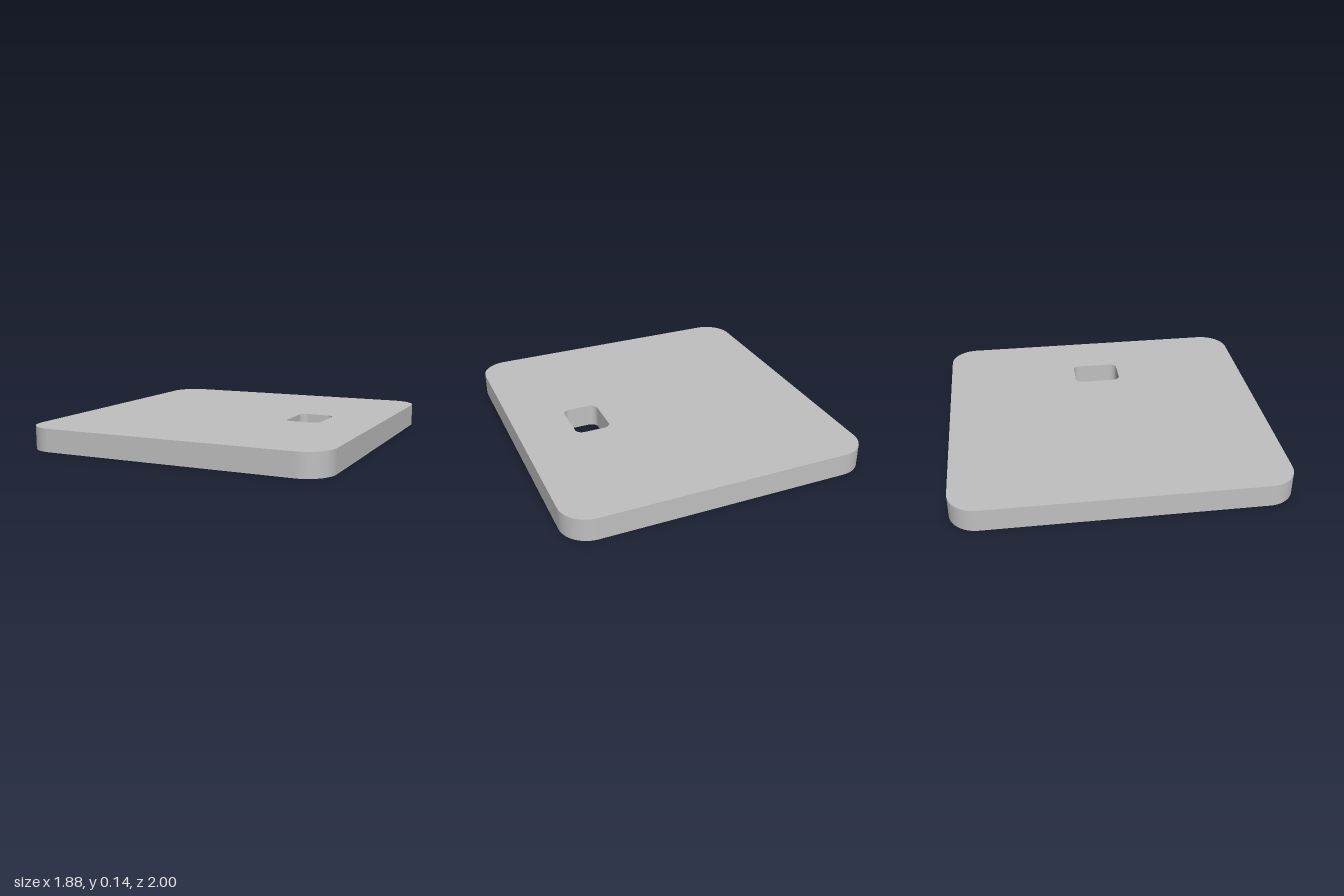
import * as THREE from 'three';

const HEIGHT = 0.14, POCKET = 0.07, STEPS = 12;

// Rounded rectangle outline: points and outward normals in the x/z plane
function outline(x, z, halfX, halfZ, r) {
  const ring = [];
  const corners = [[1, 1], [-1, 1], [-1, -1], [1, -1]];
  corners.forEach(([sx, sz], i) => {
    for (let k = 0; k <= STEPS; k++) {
      const a = (i + k / STEPS) * Math.PI / 2;
      const nx = Math.cos(a), nz = Math.sin(a);
      ring.push({ x: x + sx * (halfX - r) + r * nx, z: z + sz * (halfZ - r) + r * nz, nx, nz });
    }
  });
  return ring;
}

// Vertical wall around an outline; inward walls line a hole
function wall(ring, y0, y1, inward) {
  const pos = [], nor = [], idx = [], n = ring.length, s = inward ? -1 : 1;
  ring.forEach((p, i) => {
    pos.push(p.x, y0, p.z, p.x, y1, p.z);
    nor.push(s * p.nx, 0, s * p.nz, s * p.nx, 0, s * p.nz);
    const a = 2 * i, b = 2 * ((i + 1) % n);
    if (inward) idx.push(a, b, a + 1, b, b + 1, a + 1);
    else idx.push(a, a + 1, b, b, a + 1, b + 1);
  });
  const g = new THREE.BufferGeometry();
  g.setAttribute('position', new THREE.Float32BufferAttribute(pos, 3));
  g.setAttribute('normal', new THREE.Float32BufferAttribute(nor, 3));
  g.setIndex(idx);
  return g;
}

// Flat face at height y, facing up or down, with holes cut out
function face(ring, y, up, holes = []) {
  const s = up ? -1 : 1;
  const points = (r) => r.map((p) => new THREE.Vector2(p.x, s * p.z))
    .filter((p, i, all) => i === 0 || p.distanceTo(all[i - 1]) > 1e-6);
  const shape = new THREE.Shape(points(ring));
  shape.holes = holes.map((h) => new THREE.Path(points(h)));
  return new THREE.ShapeGeometry(shape).rotateX(s * Math.PI / 2).translate(0, y, 0);
}

export function createModel() {
  const model = new THREE.Group();
  model.name = 'basePlate';
  const grey = new THREE.MeshStandardMaterial({ color: 0xc0c0c0 });
  grey.name = 'grey';
  const add = (name, geometry) => {
    const mesh = new THREE.Mesh(geometry, grey);
    mesh.name = name;
    model.add(mesh);
  };

  const rim = outline(0, 0, 0.94, 1, 0.17);
  const slot = outline(0.49, 0, 0.11, 0.15, 0.045);
  const recess = outline(0, 0, 0.37, 0.46, 0.06);
  const screwHoles = [];
  for (const sx of [-1, 1]) {
    for (const sz of [-1, 1]) screwHoles.push(outline(sx * 0.57, sz * 0.65, 0.032, 0.032, 0.032));
  }

  // Plate shell
  add('plateTop', face(rim, HEIGHT, true, [slot]));
  add('plateBottom', face(rim, 0, false, [slot, recess, ...screwHoles]));
  add('plateRim', wall(rim, 0, HEIGHT, false));

  // Slot running right through
  add('slotWall', wall(slot, 0, HEIGHT, true));

  // Blind pockets in the underside
  add('recessWall', wall(recess, 0, POCKET, true));
  add('recessFloor', face(recess, POCKET, false));
  for (const hole of screwHoles) {
    add('screwHoleWall', wall(hole, 0, POCKET, true));
    add('screwHoleFloor', face(hole, POCKET, false));
  }
  return model;
}
